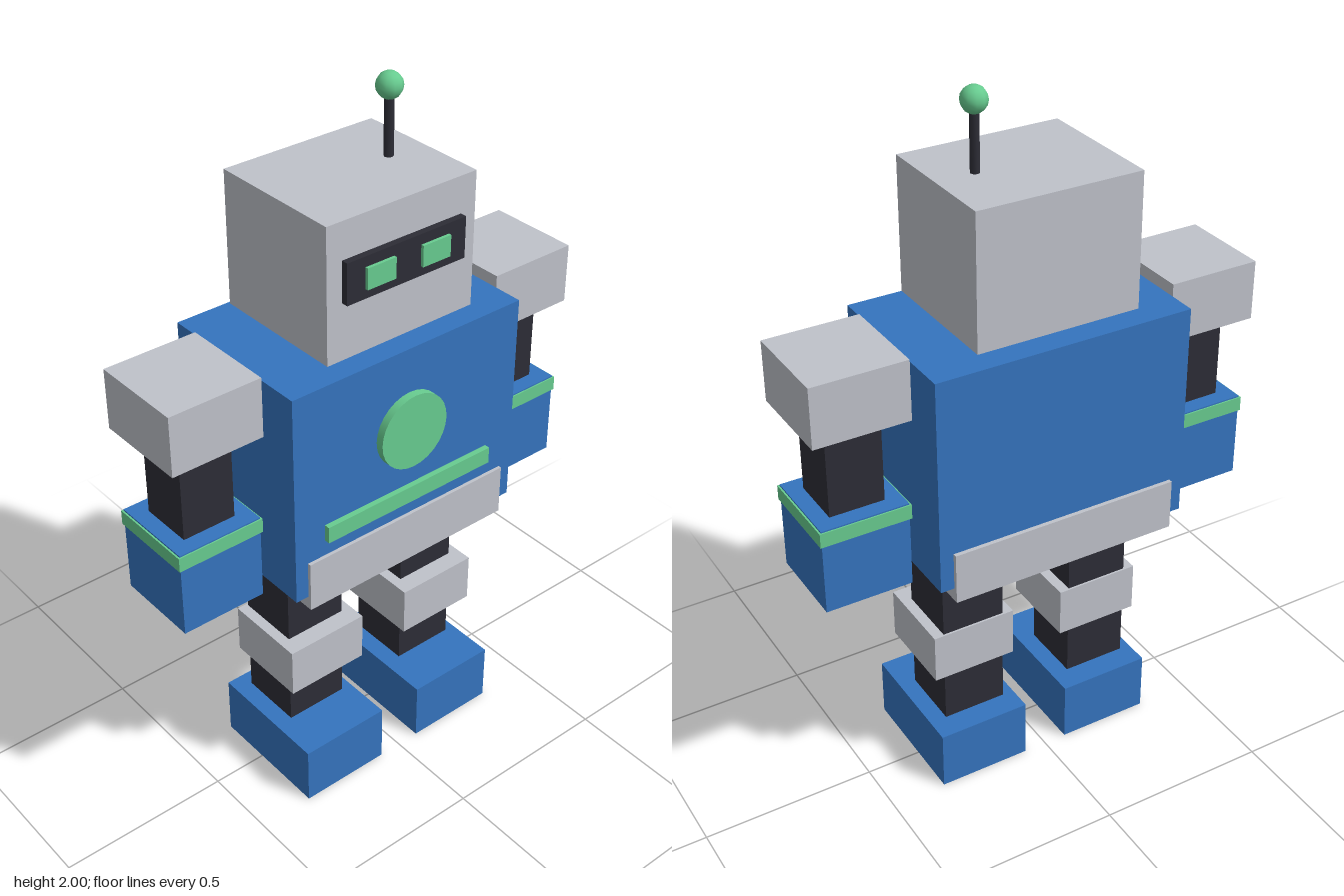
import * as THREE from 'three';

export function createModel() {
  const robot = new THREE.Group();
  robot.name = 'robot';

  const paint = (name, color) => {
    const m = new THREE.MeshStandardMaterial({ color });
    m.name = name;
    return m;
  };
  const blue = paint('blue', 0x3574be);
  const grey = paint('light grey', 0xbfc2ca);
  const dark = paint('charcoal', 0x2d2d36);
  const green = paint('mint green', 0x68cc90);

  const Z = -0.005; // depth axis of the body

  const add = (parent, name, geometry, material, x, y, z) => {
    const mesh = new THREE.Mesh(geometry, material);
    mesh.name = name;
    mesh.position.set(x, y, z);
    parent.add(mesh);
    return mesh;
  };
  // Box given by its centre x, width, bottom, top, back and front
  const box = (parent, name, material, x, w, y0, y1, z0, z1) =>
    add(parent, name, new THREE.BoxGeometry(w, y1 - y0, z1 - z0), material,
      x, (y0 + y1) / 2, (z0 + z1) / 2);

  // Head with visor and eyes
  const head = new THREE.Group();
  head.name = 'head';
  robot.add(head);
  box(head, 'skull', grey, 0, 0.472, 1.4, 1.778, Z - 0.199, Z + 0.199);
  box(head, 'visor', dark, 0, 0.378, 1.56, 1.675, 0.18, 0.213);
  for (const s of [-1, 1]) box(head, 'eye', green, s * 0.088, 0.09, 1.587, 1.646, 0.205, 0.222);

  // Antenna
  add(head, 'antennaRod', new THREE.CylinderGeometry(0.013, 0.013, 0.2, 8), dark, 0.124, 1.86, Z);
  add(head, 'antennaBall', new THREE.SphereGeometry(0.036, 10, 8), green, 0.124, 1.964, Z);

  // Torso with belt, chest light and stripe
  const body = new THREE.Group();
  body.name = 'body';
  robot.add(body);
  box(body, 'torso', blue, 0, 0.75, 0.756, 1.378, Z - 0.237, Z + 0.237);
  box(body, 'belt', grey, 0, 0.672, 0.717, 0.865, Z - 0.249, Z + 0.247);
  box(body, 'chestStripe', green, 0, 0.558, 0.912, 0.961, 0.222, 0.248);
  add(body, 'chestLight', new THREE.CylinderGeometry(0.109, 0.109, 0.05, 28), green, 0, 1.14, 0.23)
    .rotation.x = Math.PI / 2;

  // Arms and legs, mirrored
  for (const s of [-1, 1]) {
    const arm = new THREE.Group();
    arm.name = s > 0 ? 'leftArm' : 'rightArm';
    robot.add(arm);
    const ax = s * 0.524;
    box(arm, 'shoulder', grey, ax, 0.27, 1.229, 1.401, Z - 0.137, Z + 0.137);
    box(arm, 'upperArm', dark, ax, 0.156, 0.96, 1.24, Z - 0.078, Z + 0.078);
    box(arm, 'forearm', blue, ax, 0.248, 0.728, 0.979, Z - 0.125, Z + 0.125);
    box(arm, 'cuff', green, ax, 0.258, 0.933, 0.975, Z - 0.129, Z + 0.129);

    const leg = new THREE.Group();
    leg.name = s > 0 ? 'leftLeg' : 'rightLeg';
    robot.add(leg);
    const lx = s * 0.203;
    box(leg, 'shank', dark, lx, 0.187, 0.192, 0.69, Z - 0.094, Z + 0.094);
    box(leg, 'knee', grey, lx, 0.249, 0.343, 0.489, -0.105, 0.143);
    box(leg, 'foot', blue, lx, 0.272, 0, 0.177, -0.156, 0.22);
  }

  return robot;
}
